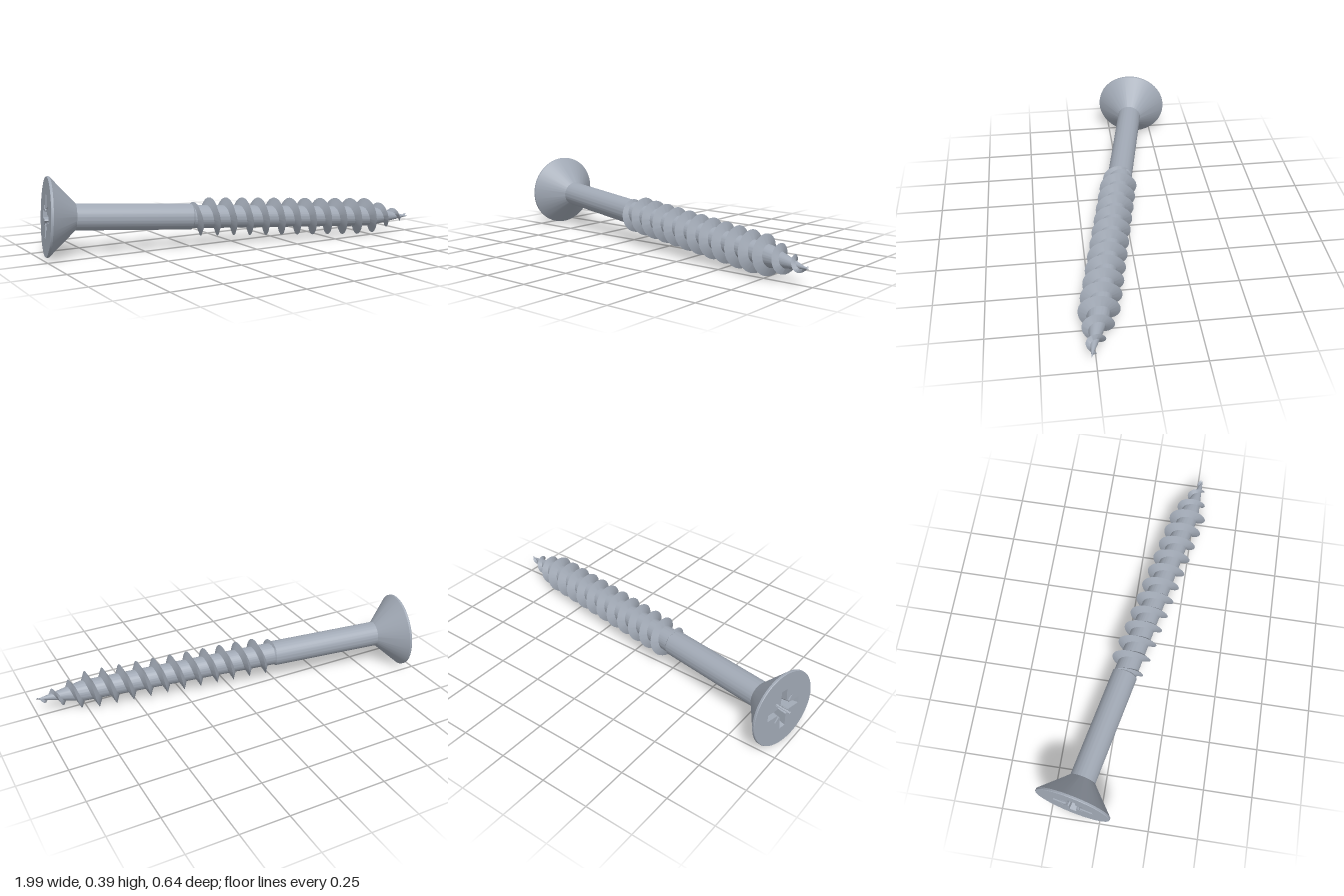
import * as THREE from 'three';
import { toCreasedNormals } from 'three/addons/utils/BufferGeometryUtils.js';

const HEAD = new THREE.Vector3(-0.957, 0.196, -0.135); // centre of the head face
const TIP = new THREE.Vector3(0.995, 0.085, 0.273);
const LENGTH = HEAD.distanceTo(TIP);
const HEAD_R = 0.195, SHANK_R = 0.066;
const THREAD_START = 0.71, PITCH = 0.09, CREST_R = 0.098;
const { clamp, lerp } = THREE.MathUtils;

// Radius of the threaded core and of the thread crest at distance s from the head face
const coreRadius = s => s < 1.76
  ? lerp(0.06, 0.053, clamp((s - 0.73) / 1.03, 0, 1))
  : Math.max(0, 0.053 * (LENGTH - s) / (LENGTH - 1.76));
const crestRadius = s => {
  const runIn = lerp(0.058, CREST_R, clamp((s - THREAD_START) / 0.06, 0, 1));
  return Math.min(runIn, Math.max(0.004, 0.012 + (LENGTH - s) * 0.335));
};

function lathe(points, sides = 64) {
  const profile = points.map(([r, y]) => new THREE.Vector2(r, y));
  return toCreasedNormals(new THREE.LatheGeometry(profile, sides), 0.45);
}

function fromLoops(positions, index) {
  const g = new THREE.BufferGeometry();
  g.setAttribute('position', new THREE.Float32BufferAttribute(positions, 3));
  g.setIndex(index);
  return g;
}

// Cross outline: four broad arms with a narrow notch between each pair
function recessOutline() {
  const quarter = [[0.107, -0.17], [0.107, 0.17], [0.045, 0.45], [0.045, 0.64],
    [0.078, 0.72], [0.078, 0.85], [0.045, 0.93], [0.045, 1.12]];
  const pts = [];
  for (let q = 0; q < 4; q++) {
    for (const [r, a] of quarter) {
      const t = a + q * Math.PI / 2;
      pts.push(new THREE.Vector2(r * Math.cos(t), r * Math.sin(t)));
    }
  }
  return pts;
}

// Tapered walls of the drive recess
function recessWalls(outline, depth, taper) {
  const pos = [], index = [], n = outline.length;
  outline.forEach((p, i) => {
    pos.push(p.x, 0, p.y, p.x * taper, depth, p.y * taper);
    const a = 2 * i, b = 2 * ((i + 1) % n);
    index.push(a, b, a + 1, b, b + 1, a + 1);
  });
  return toCreasedNormals(fromLoops(pos, index), 0.1);
}

// Sharp right-handed helical ridge, swept as a triangular section
function threadGeometry() {
  const pos = [], index = [];
  const end = LENGTH - 0.008;
  const steps = Math.round((end - THREAD_START) / PITCH * 48);
  for (let i = 0; i <= steps; i++) {
    const s = lerp(THREAD_START, end, i / steps);
    const t = (s - 0.825) / PITCH * Math.PI * 2;
    const crest = crestRadius(s);
    const w = 0.003 + 0.42 * Math.max(0, crest - coreRadius(s));
    const base = y => Math.max(0, coreRadius(y) - 0.003);
    for (const [r, y] of [[base(s - w), s - w], [crest, s], [base(s + w), s + w]]) {
      pos.push(r * Math.sin(t), y, r * Math.cos(t));
    }
    if (i === steps) continue;
    for (let k = 0; k < 2; k++) {
      const a = i * 3 + k, b = a + 3;
      index.push(a, b, a + 1, b, b + 1, a + 1);
    }
  }
  return toCreasedNormals(fromLoops(pos, index), 0.6);
}

export function createModel() {
  const steel = new THREE.MeshStandardMaterial({ color: 0xa1a9b5 });
  steel.name = 'steel';
  const screw = new THREE.Group();
  screw.name = 'screw';
  const add = (name, geometry) => {
    const mesh = new THREE.Mesh(geometry, steel);
    mesh.name = name;
    screw.add(mesh);
    return mesh;
  };

  // Countersunk head with a thin rim
  add('head', lathe([[HEAD_R - 0.002, 0], [HEAD_R, 0.003], [HEAD_R, 0.012], [SHANK_R, 0.14]], 96));

  // Flat head face pierced by the drive recess
  const outline = recessOutline();
  const depth = 0.075, taper = 0.72;
  const disc = new THREE.Shape().absarc(0, 0, HEAD_R - 0.002, 0, Math.PI * 2);
  disc.holes.push(new THREE.Path(outline));
  add('headFace', new THREE.ShapeGeometry(disc, 48).rotateX(Math.PI / 2));
  add('recessWalls', recessWalls(outline, depth, taper));
  const floor = new THREE.ShapeGeometry(new THREE.Shape(outline));
  add('recessFloor', floor.scale(taper, taper, 1).rotateX(Math.PI / 2).translate(0, depth, 0));

  // Smooth shank, then the threaded core running to a point
  add('shank', lathe([[SHANK_R, 0.138], [SHANK_R, 0.725], [0.058, 0.735]]));
  add('core', lathe([[0.06, 0.725], [coreRadius(1.76), 1.76], [0, LENGTH]]));
  add('thread', threadGeometry());

  // Lay the screw along its slanted axis
  const axis = TIP.clone().sub(HEAD).normalize();
  const up = new THREE.Vector3(0, 1, 0);
  up.addScaledVector(axis, -up.dot(axis)).normalize();
  const side = new THREE.Vector3().crossVectors(axis, up);
  screw.quaternion.setFromRotationMatrix(new THREE.Matrix4().makeBasis(side, axis, up));
  screw.position.copy(HEAD);

  const model = new THREE.Group();
  model.name = 'woodScrew';
  model.add(screw);
  return model;
}
